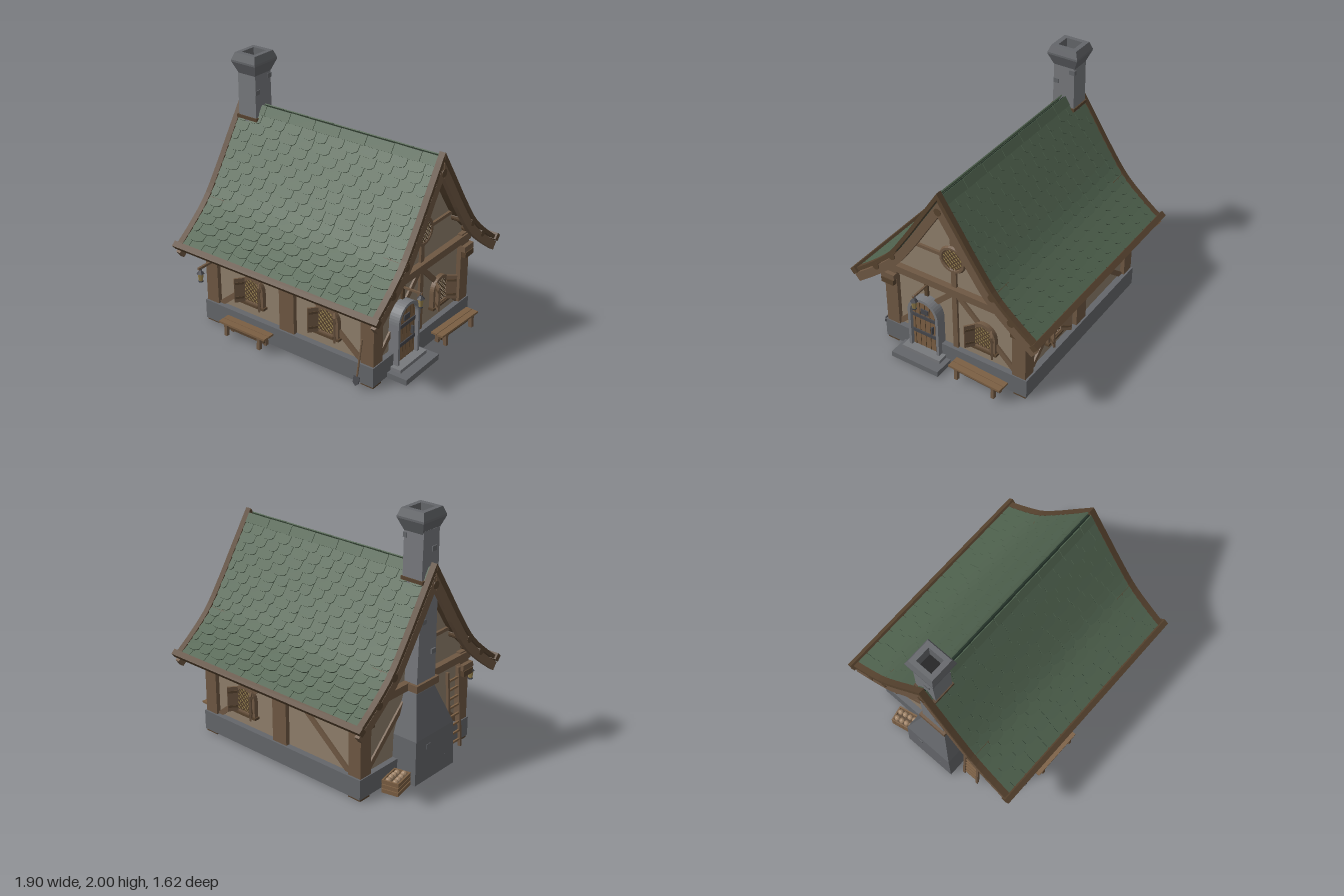
import * as THREE from 'three';
import { mergeGeometries } from 'three/addons/utils/BufferGeometryUtils.js';

const PLASTER = 0x8f7f6b, TIMBER = 0x6f5843, DARK = 0x57432f, STONE = 0x64666a, PALE = 0x77797d,
  TILE = 0x4f624e, UNDER = 0x26352b, GLASS = 0x98834f, IRON = 0x46474c, PLANK = 0x7b5f43, SOOT = 0x121214;
const mats = {};
const mat = (color) => (mats[color] ??= new THREE.MeshStandardMaterial({ color, flatShading: true, side: THREE.DoubleSide }));
let seed = 7;
const rnd = () => (seed = (seed * 16807) % 2147483647) / 2147483647;

function add(parent, name, geo, color, x = 0, y = 0, z = 0) {
  const m = new THREE.Mesh(geo, mat(color));
  m.name = name;
  m.position.set(x, y, z);
  parent.add(m);
  return m;
}
function group(parent, name, x = 0, y = 0, z = 0, ry = 0) {
  const g = new THREE.Group();
  g.name = name;
  g.position.set(x, y, z);
  g.rotation.y = ry;
  parent.add(g);
  return g;
}
const box = (p, name, color, w, h, d, x, y, z) => add(p, name, new THREE.BoxGeometry(w, h, d), color, x, y, z);
// Flat beam between two points of a wall plane
function beam(p, name, x1, y1, x2, y2, w, d, z = 0, color = TIMBER) {
  const m = box(p, name, color, Math.hypot(x2 - x1, y2 - y1), w, d, (x1 + x2) / 2, (y1 + y2) / 2, z);
  m.rotation.z = Math.atan2(y2 - y1, x2 - x1);
}
// Box whose bottom and top rectangles [x0, x1, z0, z1] differ
function prism(p, name, color, y0, b, y1, t) {
  const geo = new THREE.BoxGeometry(1, 1, 1), a = geo.attributes.position;
  for (let i = 0; i < a.count; i++) {
    const up = a.getY(i) > 0, r = up ? t : b;
    a.setXYZ(i, r[a.getX(i) > 0 ? 1 : 0], up ? y1 : y0, r[a.getZ(i) > 0 ? 3 : 2]);
  }
  geo.computeVertexNormals();
  add(p, name, geo, color);
}
const extrude = (shape, depth) => new THREE.ExtrudeGeometry(shape, { depth, bevelEnabled: false, curveSegments: 10 });
function arch(half, y0, spring, C = THREE.Shape) {
  const s = new C();
  s.moveTo(-half, y0);
  s.lineTo(half, y0);
  s.lineTo(half, spring);
  s.absarc(0, spring, half, 0, Math.PI, false);
  s.closePath();
  return s;
}

// Diagonal lead bars clipped to a convex opening
function lattice(p, inside, cy, r, step, z) {
  for (const s of [1, -1]) for (let k = -r * 1.5; k <= r * 1.5; k += step) {
    const hit = [];
    for (let t = -2 * r; t <= 2 * r; t += 0.004) {
      const x = (k + t) * 0.707 * s, y = cy + (t - k) * 0.707;
      if (inside(x, y)) hit.push([x, y]);
    }
    if (hit.length > 3) beam(p, 'leadBar', ...hit[0], ...hit.at(-1), 0.006, 0.006, z, DARK);
  }
}
function archedWindow(wall, x) {
  const g = group(wall, 'archedWindow', x);
  const frame = arch(0.108, 0.285, 0.41);
  frame.holes.push(arch(0.08, 0.3, 0.41, THREE.Path));
  add(g, 'windowFrame', extrude(frame, 0.035), TIMBER);
  add(g, 'windowPane', new THREE.ShapeGeometry(arch(0.083, 0.3, 0.41)), GLASS, 0, 0, 0.018);
  lattice(g, (a, b) => Math.abs(a) < 0.082 && b > 0.3 && (b < 0.41 || Math.hypot(a, b - 0.41) < 0.082), 0.39, 0.14, 0.025, 0.022);
  box(g, 'windowSill', DARK, 0.24, 0.018, 0.05, 0, 0.281, 0.02);
  for (const s of [-1, 1]) {
    const h = group(g, 'shutter', s * 0.07, 0.39, 0.03, -s * 0.9);
    box(h, 'shutterBoard', TIMBER, 0.08, 0.2, 0.014, s * 0.04, 0, 0);
    for (const y of [-0.06, 0.06]) box(h, 'shutterBatten', DARK, 0.07, 0.018, 0.022, s * 0.04, y, 0);
  }
}
function bench(p, x, z, ry, len) {
  const g = group(p, 'bench', x, 0, z, ry);
  for (const s of [-1, 1]) {
    box(g, 'benchPlank', PLANK, len, 0.016, 0.05, 0, 0.143, s * 0.027);
    for (const f of [-1, 1]) {
      const leg = box(g, 'benchLeg', TIMBER, 0.026, 0.1, 0.03, s * len * 0.36, 0.092, f * 0.034);
      leg.rotation.x = -f * 0.08;
    }
    box(g, 'benchBrace', TIMBER, 0.03, 0.022, 0.1, s * len * 0.36, 0.125, 0);
  }
  box(g, 'benchStretcher', DARK, len * 0.8, 0.02, 0.018, 0, 0.088, 0);
}
function lantern(p, x, y, z) {
  const g = group(p, 'lantern', x, y, z);
  add(g, 'lanternGlass', new THREE.CylinderGeometry(0.023, 0.016, 0.06, 6), GLASS);
  add(g, 'lanternCap', new THREE.CylinderGeometry(0.008, 0.031, 0.026, 6), IRON, 0, 0.043);
  add(g, 'lanternFoot', new THREE.CylinderGeometry(0.02, 0.02, 0.01, 6), IRON, 0, -0.034);
  add(g, 'lanternRing', new THREE.TorusGeometry(0.013, 0.003, 4, 10), IRON, 0, 0.067);
}

// Sweeping roof profile from ridge to eave; z held in x
const curve = new THREE.CatmullRomCurve3([[0, 1.59], [0.15, 1.36], [0.29, 1.145], [0.45, 0.925], [0.62, 0.77], [0.8, 0.632]]
  .map(([z, y]) => new THREE.Vector3(z, y, 0)));
// Offsets run vertical at the ridge and turn square to the slope at the eave
const profile = (off, end = 1, n = 16) => Array.from({ length: n + 1 }, (_, i) => {
  const u = i / n * end, q = curve.getPointAt(u), t = curve.getTangentAt(u);
  return new THREE.Vector2(q.x - t.y * off * u, q.y + off * (u * t.x + (1 - u) / t.x));
});
// Strip following the profile, extruded along the ridge from x0 to x1
function roofStrip(p, name, color, lo, hi, x0, x1, end) {
  const geo = extrude(new THREE.Shape([...profile(lo, end), ...profile(hi, end).reverse()]), x1 - x0);
  add(p, name, geo.rotateY(-Math.PI / 2).translate(x1, 0, 0), color);
}
function roofSlope(root, ry) {
  const g = group(root, 'roofSlope', 0, 0, 0, ry), tiles = [], rows = 16, L = curve.getLength() * 0.965;
  roofStrip(g, 'roofDeck', UNDER, -0.012, 0, -0.87, 0.87, 0.965);
  roofStrip(g, 'soffit', DARK, -0.022, -0.013, -0.87, 0.87, 0.965);
  for (let r = 0; r < rows; r++) {
    const ridge = r === 0, u = (r + 1) / rows, q = curve.getPointAt(u * 0.965), t = curve.getTangentAt(u * 0.965);
    const m = new THREE.Matrix4().makeBasis(new THREE.Vector3(1, 0, 0), new THREE.Vector3(0, -t.y, -t.x), new THREE.Vector3(0, t.x, -t.y));
    m.setPosition(0, q.y, q.x);
    let x = -0.87;
    for (let first = true; x < 0.869; first = false) {
      let w = ridge ? 0.23 : 0.105 + rnd() * 0.06;
      if (first && r % 2) w *= 0.55;
      if (x + w > 0.82) w = 0.87 - x;
      const a = w / 2 - 0.002, h = ridge ? L / rows : Math.min(0.1, u * L), dip = ridge ? 0 : 0.024;
      const s = new THREE.Shape([[a, h], [-a, h], [-a, dip], [-a * 0.8, dip * 0.4], [-a * 0.4, 0], [a * 0.4, 0], [a * 0.8, dip * 0.4], [a, dip]]
        .map(([i, j]) => new THREE.Vector2(i, j - rnd() * 0.004)));
      const geo = extrude(s, 0.009).rotateX(ridge ? 0 : -0.1);
      tiles.push(geo.translate(x + w / 2, 0, 0.012).applyMatrix4(m));
      x += w;
    }
  }
  add(g, 'roofTiles', mergeGeometries(tiles), TILE);
  for (const s of [-1, 1]) {
    const a = s > 0 ? 0.865 : -0.915;
    roofStrip(g, 'bargeCap', DARK, -0.008, 0.021, a, a + 0.047, 0.97);
    roofStrip(g, 'bargeBoard', TIMBER, -0.085, -0.018, a + 0.004, a + 0.042, 1);
    // round purlin ends under the verge
    for (const [z, y] of [[0, 1.476], [0.425, 0.93], [0.58, 0.78]])
      add(g, 'purlinEnd', new THREE.CylinderGeometry(0.03, 0.03, 0.19, 12).rotateZ(Math.PI / 2), DARK, s * 0.818, y, z);
  }
  box(g, 'eaveBeam', DARK, 1.86, 0.052, 0.046, 0, 0.666, 0.776).rotation.x = 0.7;
}

function longWall(root, name, ry, windows) {
  const w = group(root, name, 0, 0, 0, ry), f = group(w, 'wallFace', 0, 0, 0.58);
  add(f, 'plaster', new THREE.PlaneGeometry(1.48, 0.6), PLASTER, 0, 0.47);
  box(f, 'middlePost', TIMBER, 0.135, 0.58, 0.06, 0, 0.46, 0.005);
  box(f, 'wallPlate', TIMBER, 1.54, 0.07, 0.08, 0, 0.69, 0.005);
  for (const s of [-1, 1]) {
    beam(f, 'brace', s * 0.66, 0.17, s * 0.06, 0.67, 0.042, 0.03);
    box(w, 'cornerPost', TIMBER, 0.112, 0.58, 0.11, s * 0.721, 0.46, 0.56);
    box(w, 'postFoot', DARK, 0.11, 0.03, 0.1, s * 0.725, 0.015, 0.57);
    box(w, 'eaveBracket', DARK, 0.08, 0.045, 0.11, s * 0.775, 0.583, 0.565);
    box(w, 'eaveBracket', TIMBER, 0.07, 0.045, 0.12, s * 0.775, 0.63, 0.565);
  }
  windows.forEach((x) => archedWindow(f, x));
}
function gable(root, name, ry) {
  const g = group(root, name, Math.sin(ry) * 0.74, 0, 0, ry), side = profile(-0.02, 0.78, 12);
  const mirror = side.slice(1).map((v) => new THREE.Vector2(-v.x, v.y));
  add(g, 'plaster', new THREE.ShapeGeometry(new THREE.Shape([new THREE.Vector2(-0.58, 0.17), new THREE.Vector2(0.58, 0.17), ...side.reverse(), ...mirror])), PLASTER);
  box(g, 'kingPost', TIMBER, 0.042, 1.32, 0.04, 0, 0.83, 0);
  box(g, 'tieBeam', TIMBER, 1.24, 0.058, 0.08, 0, 0.71, 0.01);
  box(g, 'collarBeam', TIMBER, 0.8, 0.026, 0.04, 0, 0.985, 0);
  for (const s of [-1, 1]) beam(g, 'brace', s * 0.53, 0.17, s * 0.01, 0.675, 0.042, 0.03);
  return g;
}
function door(wall) {
  const g = group(wall, 'door', -0.245);
  const frame = arch(0.136, 0.07, 0.41);
  frame.holes.push(arch(0.113, 0.07, 0.41, THREE.Path));
  add(g, 'doorArch', extrude(frame, 0.085), PALE);
  add(g, 'doorLeaf', extrude(arch(0.113, 0.07, 0.41), 0.055), PLANK);
  for (let i = -2; i <= 2; i++) box(g, 'plankGap', DARK, 0.004, 0.42, 0.004, i * 0.045, 0.285, 0.056);
  for (const y of [0.215, 0.365]) box(g, 'hingeBand', IRON, 0.22, 0.028, 0.012, 0, y, 0.058);
  box(g, 'doorHatch', IRON, 0.065, 0.045, 0.012, 0, 0.42, 0.058);
  box(g, 'doorHandle', IRON, 0.012, 0.065, 0.025, 0.07, 0.28, 0.065);
  box(g, 'lowerStep', STONE, 0.42, 0.045, 0.21, 0, 0.03, 0.105);
  box(g, 'upperStep', PALE, 0.34, 0.028, 0.13, 0, 0.066, 0.065);
  box(g, 'lanternPlate', DARK, 0.03, 0.11, 0.02, 0, 0.61, 0.02);
  box(g, 'lanternArm', TIMBER, 0.014, 0.014, 0.18, 0, 0.647, 0.095);
  lantern(g, 0, 0.575, 0.172);
}
function chimney(root) {
  const g = group(root, 'chimney');
  prism(g, 'chimneyBase', STONE, 0.015, [-0.952, -0.72, -0.225, 0.225], 0.36, [-0.945, -0.72, -0.215, 0.215]);
  prism(g, 'chimneyShoulder', STONE, 0.36, [-0.945, -0.72, -0.215, 0.215], 0.66, [-0.85, -0.7, -0.105, 0.105]);
  prism(g, 'chimneyStack', PALE, 0.66, [-0.85, -0.69, -0.105, 0.105], 1.86, [-0.858, -0.69, -0.086, 0.086]);
  box(g, 'chimneyBand', TIMBER, 0.18, 0.055, 0.25, -0.78, 0.71, 0);
  box(g, 'roofFlashing', DARK, 0.19, 0.025, 0.2, -0.775, 1.5, 0);
  const cap = [[0.083, 1.84], [0.12, 1.93], [0.12, 1.945], [0.1, 2], [0.063, 2], [0.06, 1.865]]
    .map(([r, y]) => new THREE.Vector2(r * Math.SQRT2, y));
  add(g, 'chimneyCap', new THREE.LatheGeometry(cap, 4, Math.PI / 4), STONE, -0.77).scale.set(0.95, 1, 1.05);
  box(g, 'flue', SOOT, 0.13, 0.02, 0.14, -0.77, 1.87, 0);
  // proud stones
  for (const [x, y, z] of [[-0.85, 1.72, 0.03], [-0.7, 1.81, -0.07], [-0.7, 1.71, 0.065], [-0.845, 1.2, -0.05], [-0.85, 0.95, 0.06],
    [-0.935, 0.12, 0.12], [-0.935, 0.28, -0.08], [-0.925, 0.2, -0.195], [-0.925, 0.34, 0.16], [-0.92, 0.1, -0.195]])
    box(g, 'proudStone', STONE, 0.03, 0.036, 0.046, x, y, z);
}

export function createModel() {
  seed = 7;
  const root = new THREE.Group();
  root.name = 'cottage';
  box(root, 'plinth', STONE, 1.57, 0.157, 1.26, 0, 0.0965, 0);
  longWall(root, 'frontWall', 0, [-0.33, 0.36]);
  longWall(root, 'backWall', Math.PI, [-0.36]);
  const entry = gable(root, 'doorGable', Math.PI / 2);
  door(entry);
  archedWindow(entry, 0.25);
  // Round gable window
  const round = group(entry, 'roundWindow', 0, 0.985, 0.02);
  add(round, 'roundFrame', new THREE.TorusGeometry(0.096, 0.018, 6, 24), TIMBER);
  add(round, 'roundPane', new THREE.CircleGeometry(0.095, 24), GLASS, 0, 0, 0.004);
  lattice(round, (a, b) => Math.hypot(a, b) < 0.092, 0, 0.1, 0.025, 0.008);
  gable(root, 'chimneyGable', -Math.PI / 2);
  chimney(root);
  roofSlope(root, 0);
  roofSlope(root, Math.PI);

  bench(root, -0.305, 0.72, 0, 0.44);
  bench(root, 0.885, -0.28, Math.PI / 2 - 0.05, 0.46);
  // Corner lantern on its arm
  box(root, 'lanternArm', TIMBER, 0.018, 0.018, 0.18, -0.7, 0.535, 0.69);
  lantern(root, -0.7, 0.46, 0.76);
  // Shovel leaning on the front wall
  const shovel = group(root, 'shovel', 0.69, 0.05, 0.7);
  shovel.rotation.x = -0.2;
  add(shovel, 'shovelHandle', new THREE.CylinderGeometry(0.007, 0.007, 0.3, 6), TIMBER, 0, 0.19);
  add(shovel, 'shovelBlade', extrude(new THREE.Shape([[-0.025, 0.06], [-0.025, 0.01], [0, -0.012], [0.025, 0.01], [0.025, 0.06]].map((v) => new THREE.Vector2(...v))), 0.008), IRON);
  // Ladder leaning on the chimney gable
  const ladder = group(root, 'ladder', -0.865, 0.04, 0.36);
  ladder.rotation.z = -0.07;
  for (const s of [-1, 1]) box(ladder, 'ladderRail', TIMBER, 0.022, 0.64, 0.02, 0, 0.32, s * 0.065);
  for (let i = 0; i < 8; i++) box(ladder, 'ladderRung', PLANK, 0.014, 0.014, 0.13, 0, 0.06 + i * 0.072, 0);
  // Crate of fruit
  const crate = group(root, 'crate', -0.865, 0, -0.33, 0.2);
  for (const s of [-1, 1]) for (let i = 0; i < 3; i++) {
    box(crate, 'crateSlat', PLANK, 0.012, 0.03, 0.19, s * 0.06, 0.027 + i * 0.036, 0);
    box(crate, 'crateSlat', PLANK, 0.13, 0.03, 0.012, 0, 0.027 + i * 0.036, s * 0.09);
  }
  box(crate, 'crateFill', DARK, 0.11, 0.065, 0.17, 0, 0.045, 0);
  for (let i = 0; i < 8; i++) add(crate, 'fruit', new THREE.IcosahedronGeometry(0.024, 1), 0xa08468, (i % 2 - 0.5) * 0.055, 0.098 + rnd() * 0.01, (Math.floor(i / 2) - 1.5) * 0.043);
  return root;
}
